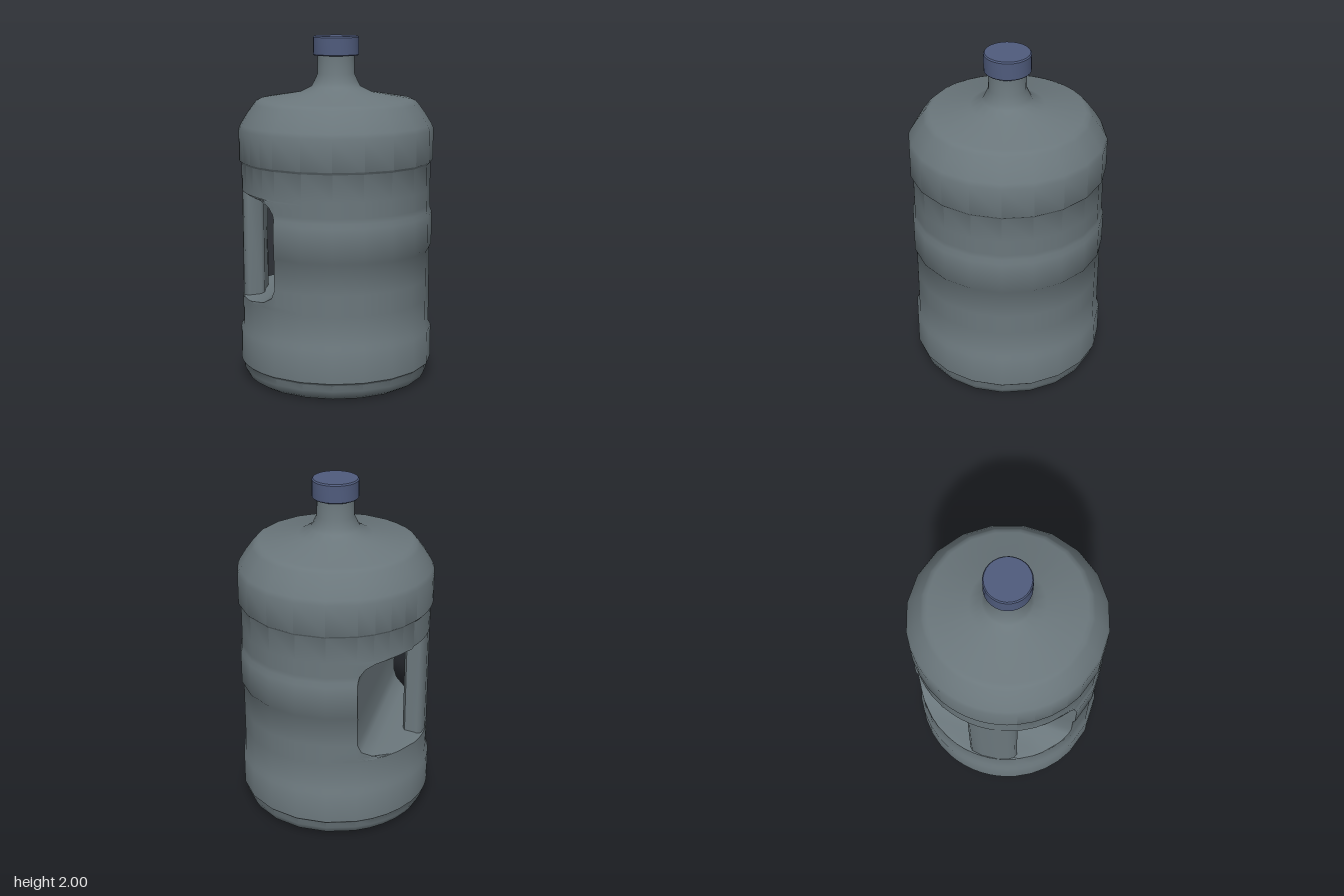
import * as THREE from 'three';
import { toCreasedNormals } from 'three/addons/utils/BufferGeometryUtils.js';

const RAD = Math.PI / 180;
const EDGE = 63 * RAD; // half angle of the grip recess

// Body rows: [height, radius, distance of the flat recess wall from the axis]
const ROWS = [
  [0, 0], [0, 0.495], [0.02, 0.525], [0.06, 0.546], [0.095, 0.548],
  [0.11, 0.563], [0.3, 0.563], [0.325, 0.549],                        // lower band
  [0.49, 0.549], [0.5, 0.549, 0.5], [0.505, 0.549, 0.42],             // recess floor
  [0.525, 0.549, 0.33], [0.56, 0.549, 0.275], [0.61, 0.549, 0.255],
  [0.78, 0.549, 0.255], [0.795, 0.56, 0.255],                         // middle band
  [0.985, 0.56, 0.255], [1.01, 0.549, 0.255],
  [1.04, 0.549, 0.262], [1.08, 0.549, 0.29], [1.105, 0.549, 0.34],    // recess ceiling
  [1.115, 0.549, 0.42], [1.12, 0.549, 0.5], [1.13, 0.549],
  [1.28, 0.549], [1.295, 0.563], [1.475, 0.563],                      // upper band
  [1.5, 0.552], [1.56, 0.515], [1.615, 0.475], [1.632, 0.46], [1.642, 0.437], // shoulder
  [1.68, 0.21], [1.715, 0.14], [1.74, 0.127], [1.785, 0.107], [1.9, 0.105],   // neck
];

// Column angles of one row; columns bunch up so that one follows the recess edge
function columnAngles(a) {
  const angles = [];
  for (let i = 0; i < 4; i++) angles.push(-EDGE + (EDGE - a) * i / 4);
  for (let i = 0; i <= 8; i++) angles.push(-a + 2 * a * i / 8);
  for (let i = 1; i <= 4; i++) angles.push(a + (EDGE - a) * i / 4);
  for (let i = 1; i <= 13; i++) angles.push(EDGE + 18 * RAD * i);
  return angles;
}

function bodyGeometry() {
  const positions = [], index = [];
  let n = 0;
  for (const [y, r, d] of ROWS) {
    const a = d ? Math.acos(d / r) : 0.4;
    const angles = columnAngles(a);
    n = angles.length;
    for (const t of angles) {
      const radius = d && Math.abs(t) <= a + 1e-6 ? d / Math.cos(t) : r;
      positions.push(radius * Math.cos(t), y, -radius * Math.sin(t));
    }
  }
  for (let j = 0; j < ROWS.length - 1; j++) {
    for (let i = 0; i < n - 1; i++) {
      const p = j * n + i, q = p + n;
      if (j > 0) index.push(p, p + 1, q);
      index.push(p + 1, q + 1, q);
    }
  }
  const g = new THREE.BufferGeometry();
  g.setAttribute('position', new THREE.Float32BufferAttribute(positions, 3));
  g.setIndex(index);
  return toCreasedNormals(g, 0.75);
}

// Grip bar: a curved slab standing in the recess
function gripGeometry() {
  const section = [
    [0.425, -9], [0.445, -12.5], [0.52, -12.3], [0.538, -10], [0.545, -3],
    [0.548, 7.6], [0.545, 14], [0.538, 18], [0.52, 20], [0.445, 20], [0.425, 17], [0.42, 4],
  ];
  // section angles are shifted so the bar sits slightly to one side
  const pts = section.map(([r, deg]) => {
    const t = (deg + 3.8) * RAD;
    return new THREE.Vector2(r * Math.cos(t), r * Math.sin(t));
  });
  const g = new THREE.ExtrudeGeometry(new THREE.Shape(pts), { depth: 0.66, bevelEnabled: false });
  g.rotateX(-Math.PI / 2).translate(0, 0.48, 0);
  return toCreasedNormals(g, 0.9);
}

function capGeometry() {
  const profile = [[0, 1.89], [0.128, 1.89], [0.132, 1.895], [0.132, 1.992], [0.126, 2], [0, 2]];
  const g = new THREE.LatheGeometry(profile.map(([r, y]) => new THREE.Vector2(r, y)), 28);
  return toCreasedNormals(g, 0.6);
}

export function createModel() {
  const plastic = new THREE.MeshStandardMaterial({ color: 0x6b777c });
  plastic.name = 'greyPlastic';
  const blue = new THREE.MeshStandardMaterial({ color: 0x4f5b7c });
  blue.name = 'blueCap';

  const model = new THREE.Group();
  model.name = 'waterBottle';
  const add = (name, geometry, material) => {
    const mesh = new THREE.Mesh(geometry, material);
    mesh.name = name;
    model.add(mesh);
    return mesh;
  };
  // The recess is built toward +x, then turned to the back right
  const turn = 140 * RAD;
  add('body', bodyGeometry(), plastic).rotation.y = turn;
  add('gripBar', gripGeometry(), plastic).rotation.y = turn;
  add('cap', capGeometry(), blue);
  return model;
}
